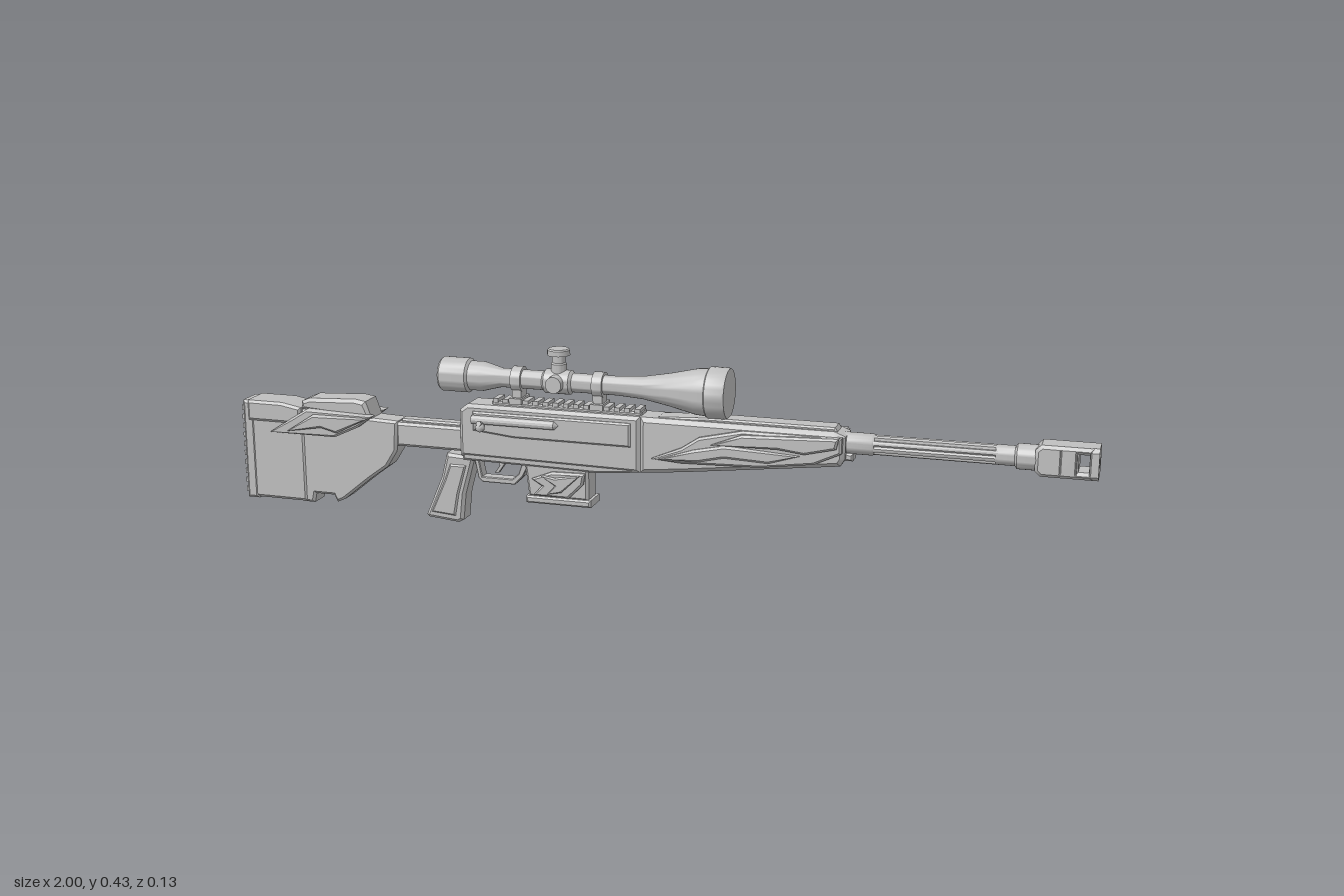
import * as THREE from 'three';
import { toCreasedNormals } from 'three/addons/utils/BufferGeometryUtils.js';

export function createModel() {
  const model = new THREE.Group();
  const rifle = new THREE.Group();
  rifle.name = 'rifle';
  rifle.position.z = -0.003;
  model.add(rifle);
  const grey = new THREE.MeshStandardMaterial({ color: 0xbfbfbf });
  grey.name = 'plain grey';

  const add = (name, geo, x = 0, y = 0, z = 0) => {
    const mesh = new THREE.Mesh(toCreasedNormals(geo, 0.6), grey);
    mesh.name = name;
    mesh.position.set(x, y, z);
    rifle.add(mesh);
    return mesh;
  };
  const outline = (pts) => new THREE.Shape(pts.map((p) => new THREE.Vector2(p[0], p[1])));

  // Side profile extruded from z0 to z1 with chamfered edges
  const slab = (name, pts, z0, z1, bevel = 0.006, holes = []) => {
    const shape = outline(pts);
    holes.forEach((h) => shape.holes.push(outline(h)));
    const geo = new THREE.ExtrudeGeometry(shape, {
      depth: z1 - z0 - 2 * bevel, bevelEnabled: bevel > 0, bevelThickness: bevel,
      bevelSize: bevel, bevelOffset: -bevel, bevelSegments: 1, curveSegments: 8,
    });
    return add(name, geo.translate(0, 0, z0 + bevel));
  };
  const mid = (name, pts, half, bevel, holes) => slab(name, pts, -half, half, bevel, holes);
  const rect = (x0, y0, x1, y1) => [[x0, y0], [x1, y0], [x1, y1], [x0, y1]];
  const bothSides = (name, pts, inner, outer, bevel = 0.005) => {
    slab(name + 'Left', pts, inner, outer, bevel);
    slab(name + 'Right', pts, -outer, -inner, bevel);
  };
  // Turned part along x from [x, radius] pairs
  const turned = (name, prof, y, z = 0, seg = 28) =>
    add(name, new THREE.LatheGeometry(prof.map(([x, r]) => new THREE.Vector2(r, x)), seg)
      .rotateZ(-Math.PI / 2), 0, y, z);
  const alongX = (shape, x0, x1) => new THREE.ExtrudeGeometry(shape, { depth: x1 - x0, bevelEnabled: false })
    .rotateY(Math.PI / 2).translate(x0, 0, 0);

  // Receiver, rail and handguard
  mid('receiver', [[-0.435, 0.17], [0, 0.165], [0, 0.295], [-0.415, 0.295], [-0.435, 0.28]], 0.038, 0.008);
  mid('receiverLowerRim', [[-0.43, 0.16], [-0.1, 0.155], [0, 0.165], [0, 0.18], [-0.43, 0.18]], 0.034, 0.005);
  mid('handguard', [[0, 0.165], [0.1, 0.175], [0.455, 0.218], [0.465, 0.235], [0.465, 0.285],
    [0.44, 0.295], [0, 0.295]], 0.04, 0.01);
  mid('handguardTop', [[0.02, 0.285], [0.45, 0.285], [0.44, 0.302], [0.16, 0.302], [0.04, 0.296]], 0.025, 0.004);
  mid('frontLug', rect(0.44, 0.228, 0.48, 0.245), 0.02, 0.004);
  mid('rail', rect(-0.36, 0.285, 0, 0.302), 0.02, 0.003);
  for (let i = 0; i < 15; i++) {
    add('railTooth', new THREE.BoxGeometry(0.013, 0.009, 0.044), -0.35 + i * 0.0243, 0.305, 0);
  }

  // Layered swept panels on the handguard
  bothSides('handguardPanel', [[0.03, 0.205], [0.1, 0.2], [0.28, 0.205], [0.4, 0.222], [0.46, 0.25],
    [0.46, 0.285], [0.24, 0.285], [0.14, 0.262], [0.1, 0.235]], 0.03, 0.052);
  bothSides('handguardUpperFeather', [[0.17, 0.25], [0.24, 0.278], [0.455, 0.286], [0.45, 0.262],
    [0.38, 0.245], [0.32, 0.252]], 0.04, 0.062);
  bothSides('handguardLowerFeather', [[0.05, 0.208], [0.13, 0.235], [0.2, 0.25], [0.37, 0.24],
    [0.3, 0.218], [0.2, 0.222], [0.14, 0.208]], 0.04, 0.06);

  // Receiver side details
  bothSides('receiverSidePlate', [[-0.4, 0.235], [-0.3, 0.225], [-0.02, 0.225], [-0.02, 0.28], [-0.4, 0.28]],
    0.03, 0.044, 0.004);
  slab('receiverRightPanel', [[-0.26, 0.25], [-0.2, 0.24], [-0.08, 0.255], [-0.06, 0.285], [-0.22, 0.285]],
    -0.062, -0.035, 0.005);
  for (const x of [-0.37, -0.31]) {
    add('sideSlot', new THREE.BoxGeometry(0.04, 0.007, 0.006), x, 0.215, -0.038);
  }
  turned('bolt', [[-0.4, 0], [-0.4, 0.01], [-0.2, 0.01], [-0.19, 0]], 0.262, 0.044, 12);
  const handle = add('boltHandle', new THREE.CylinderGeometry(0.006, 0.006, 0.03, 10), -0.375, 0.254, 0.052);
  handle.rotation.x = Math.PI / 2.5;
  add('boltKnob', new THREE.SphereGeometry(0.011, 12, 8), -0.375, 0.248, 0.058);

  // Fluted barrel
  turned('barrelRear', [[0.44, 0], [0.44, 0.024], [0.52, 0.024], [0.525, 0.021], [0.525, 0]], 0.265);
  const flutes = [];
  for (let i = 0; i < 32; i++) {
    const r = i % 4 === 0 ? 0.017 : 0.022;
    flutes.push([r * Math.cos(i * Math.PI / 16), r * Math.sin(i * Math.PI / 16)]);
  }
  add('barrelFlutes', alongX(outline(flutes), 0.52, 0.79), 0, 0.265, 0);
  turned('barrelFront', [[0.785, 0], [0.785, 0.022], [0.825, 0.022], [0.83, 0.028], [0.875, 0.028], [0.88, 0]], 0.265);

  // Muzzle brake with three side ports and a bored nose
  const ports = [0.894, 0.926, 0.958].map((x) => rect(x, 0.247, x + 0.022, 0.285));
  mid('muzzleBrake', [[0.868, 0.242], [0.88, 0.231], [0.988, 0.231], [0.988, 0.3], [0.88, 0.3], [0.868, 0.288]],
    0.033, 0.007, ports);
  const nose = outline([[-0.033, -0.026], [-0.024, -0.035], [0.024, -0.035], [0.033, -0.026],
    [0.033, 0.026], [0.024, 0.035], [-0.024, 0.035], [-0.033, 0.026]]);
  const bore = new THREE.Path();
  bore.absarc(0, 0, 0.012, 0, Math.PI * 2, true);
  nose.holes.push(bore);
  add('muzzleNose', alongX(nose, 0.984, 1), 0, 0.2655, 0);

  // Stock
  mid('stockTube', rect(-0.6, 0.178, -0.43, 0.235), 0.028, 0.006);
  mid('stockTubeTop', rect(-0.59, 0.22, -0.44, 0.242), 0.016, 0.004);
  mid('stockFrame', [[-0.85, 0.02], [-0.82, 0.02], [-0.815, 0.043], [-0.768, 0.043], [-0.76, 0.026], [-0.74, 0.035],
    [-0.67, 0.092], [-0.625, 0.125], [-0.6, 0.165], [-0.595, 0.238], [-0.65, 0.24], [-0.85, 0.25]], 0.03, 0.006,
  [[[-0.845, 0.087], [-0.725, 0.087], [-0.69, 0.112], [-0.66, 0.135], [-0.638, 0.172], [-0.66, 0.19], [-0.845, 0.19]]]);
  mid('buttBlock', [[-0.985, 0.022], [-0.835, 0.022], [-0.835, 0.19], [-0.86, 0.258], [-0.985, 0.258]], 0.034, 0.007);
  mid('buttPad', rect(-0.995, 0.02, -0.965, 0.262), 0.036, 0.006);
  for (let i = 0; i < 10; i++) {
    add('buttRib', new THREE.BoxGeometry(0.01, 0.012, 0.06), -0.995, 0.04 + i * 0.0225, 0);
  }
  mid('buttTop', [[-0.98, 0.215], [-0.84, 0.215], [-0.84, 0.255], [-0.89, 0.264], [-0.98, 0.264]], 0.042, 0.006);
  mid('cheekRest', [[-0.84, 0.25], [-0.66, 0.24], [-0.675, 0.28], [-0.7, 0.284], [-0.82, 0.278], [-0.84, 0.27]], 0.036, 0.008);
  bothSides('cheekPanel', [[-0.92, 0.192], [-0.75, 0.192], [-0.69, 0.22], [-0.65, 0.25], [-0.82, 0.255],
    [-0.86, 0.23]], 0.025, 0.05);
  bothSides('cheekFeather', [[-0.87, 0.2], [-0.78, 0.215], [-0.74, 0.205], [-0.66, 0.245], [-0.8, 0.245]], 0.04, 0.06);

  // Grip, trigger and guard
  mid('grip', [[-0.53, 0.016], [-0.525, 0.01], [-0.45, 0.003], [-0.437, 0.01], [-0.43, 0.075], [-0.405, 0.165],
    [-0.475, 0.17], [-0.49, 0.11]], 0.026, 0.007);
  mid('gripSidePanels', [[-0.515, 0.025], [-0.455, 0.02], [-0.445, 0.075], [-0.425, 0.145], [-0.465, 0.145],
    [-0.48, 0.105]], 0.03, 0.004);
  mid('triggerGuard', [[-0.41, 0.165], [-0.4, 0.115], [-0.39, 0.105], [-0.31, 0.105], [-0.29, 0.125], [-0.27, 0.165]],
    0.015, 0.002, [[[-0.398, 0.16], [-0.39, 0.118], [-0.315, 0.118], [-0.3, 0.132], [-0.29, 0.16]]]);
  mid('trigger', [[-0.355, 0.165], [-0.35, 0.145], [-0.362, 0.128], [-0.352, 0.128], [-0.338, 0.148], [-0.338, 0.165]],
    0.006, 0.001);

  // Magazine
  mid('magazine', [[-0.27, 0.085], [-0.125, 0.085], [-0.125, 0.17], [-0.28, 0.17]], 0.03, 0.006);
  mid('magazineBase', rect(-0.275, 0.071, -0.118, 0.088), 0.035, 0.004);
  bothSides('magazinePanel', [[-0.255, 0.092], [-0.17, 0.09], [-0.135, 0.125], [-0.13, 0.152], [-0.21, 0.15],
    [-0.26, 0.13], [-0.235, 0.115]], 0.025, 0.04);
  bothSides('magazineFeather', [[-0.22, 0.098], [-0.185, 0.105], [-0.14, 0.148], [-0.2, 0.138], [-0.235, 0.142],
    [-0.2, 0.12]], 0.035, 0.047, 0.003);

  // Telescopic sight
  turned('scopeBody', [[-0.488, 0], [-0.488, 0.036], [-0.483, 0.04], [-0.42, 0.04], [-0.415, 0.034], [-0.385, 0.034],
    [-0.34, 0.022], [-0.06, 0.022], [0, 0.026], [0.06, 0.037], [0.125, 0.052], [0.15, 0.054], [0.153, 0.058],
    [0.192, 0.058], [0.197, 0.056], [0.197, 0]], 0.355, 0, 36);
  for (const x of [-0.3, -0.105]) {
    turned('scopeRing', [[x - 0.012, 0.02], [x - 0.012, 0.029], [x + 0.012, 0.029], [x + 0.012, 0.02]], 0.355);
    add('ringMount', new THREE.BoxGeometry(0.022, 0.035, 0.036), x, 0.32, 0);
    add('ringClamp', new THREE.BoxGeometry(0.03, 0.014, 0.056), x, 0.307, 0);
  }
  turned('turretCollar', [[-0.24, 0.02], [-0.232, 0.028], [-0.173, 0.028], [-0.165, 0.02]], 0.355);
  const turret = [[0, 0.018], [0.042, 0.018], [0.045, 0.015], [0.06, 0.015], [0.062, 0.026], [0.074, 0.026], [0.077, 0.023], [0.077, 0]]
    .map(([h, r]) => new THREE.Vector2(r, h));
  add('topTurret', new THREE.LatheGeometry(turret, 20), -0.2025, 0.355, 0);
  for (const s of [1, -1]) {
    const knob = add('sideTurret', new THREE.CylinderGeometry(0.019, 0.021, 0.04, 20), -0.2025, 0.355, s * 0.022);
    knob.rotation.x = s * Math.PI / 2;
  }
  return model;
}
